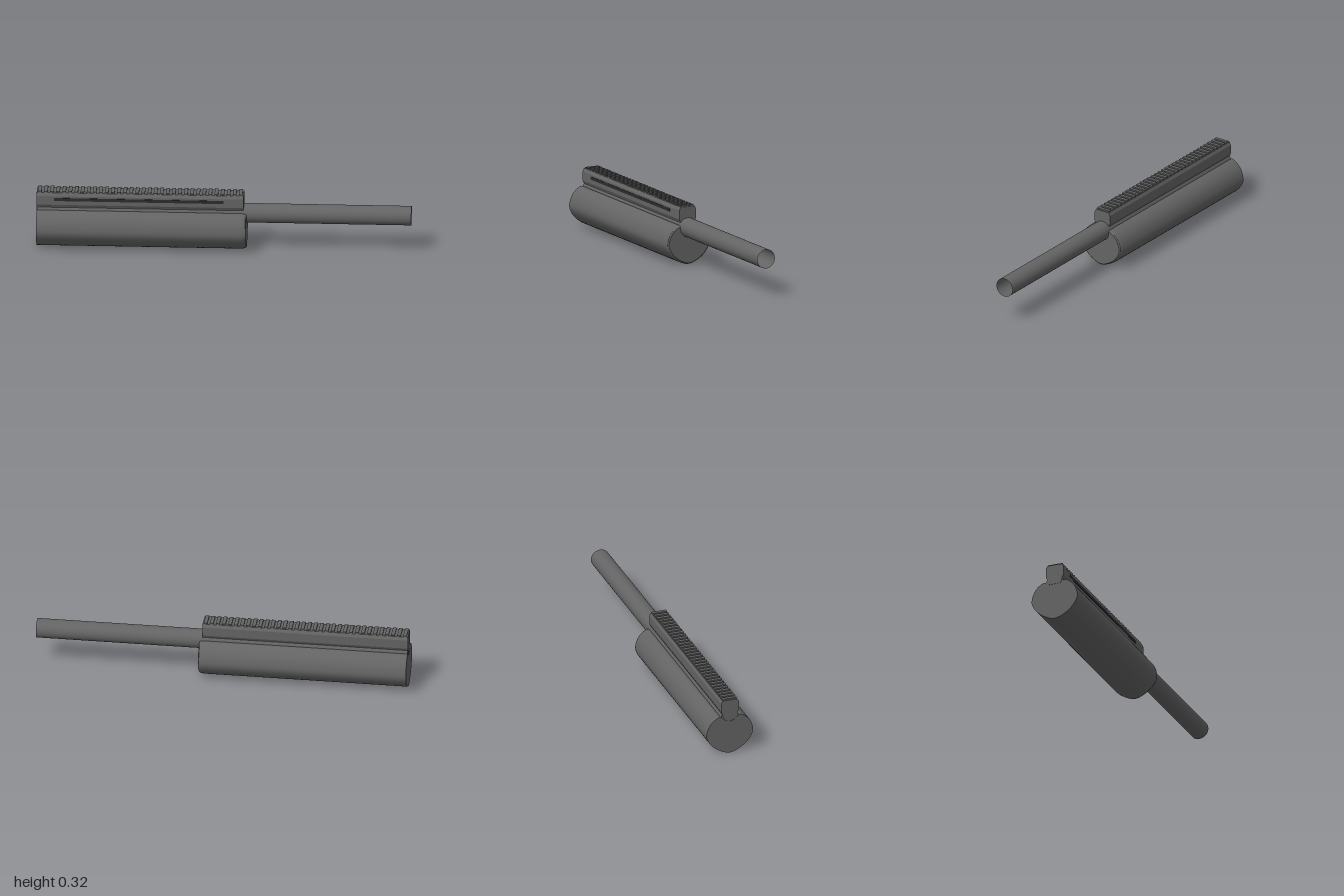
import * as THREE from 'three';
import { toCreasedNormals } from 'three/addons/utils/BufferGeometryUtils.js';

const gunmetal = new THREE.MeshStandardMaterial({ color: 0x646464 });
gunmetal.name = 'gunmetal';
const tubeMetal = new THREE.MeshStandardMaterial({ color: 0x646464, side: THREE.DoubleSide });
tubeMetal.name = 'gunmetal tube';
const slotDark = new THREE.MeshStandardMaterial({ color: 0x2c2c2c });
slotDark.name = 'slot dark';

const REAR = -1;

function part(name, geometry, material, x = 0, y = 0, z = 0) {
  const mesh = new THREE.Mesh(geometry, material);
  mesh.name = name;
  mesh.position.set(x, y, z);
  return mesh;
}

// Heart-shaped section, [z, y], from bottom centre round to the top groove
function guardSection() {
  const half = [[0, 0.002], [0.04, 0.013], [0.088, 0.043], [0.119, 0.08], [0.132, 0.114],
    [0.125, 0.155], [0.108, 0.187], [0.08, 0.212], [0.056, 0.221], [0.042, 0.211], [0.02, 0.195], [0, 0.19]];
  const all = [...half, ...half.slice(1, -1).reverse().map(([z, y]) => [-z, y])];
  const curve = new THREE.CatmullRomCurve3(all.map(([z, y]) => new THREE.Vector3(0, y, z)), true);
  return curve.getPoints(72).slice(0, -1);
}

// Section lofted along x, with a rounded front edge
function guardGeometry() {
  const section = guardSection(), n = section.length, cy = 0.11;
  const rings = [[REAR, 1], [0.09, 1], [0.105, 0.985], [0.115, 0.96], [0.12, 0.91]];
  const pos = [], index = [];
  for (const [x, s] of rings) for (const p of section) pos.push(x, cy + (p.y - cy) * s, p.z * s);
  for (let r = 0; r < rings.length - 1; r++) {
    for (let i = 0; i < n; i++) {
      const a = r * n + i, b = r * n + (i + 1) % n;
      index.push(a, b, a + n, b, b + n, a + n);
    }
  }
  // End caps
  const rear = pos.length / 3, front = rear + 1, last = (rings.length - 1) * n;
  pos.push(REAR, cy, 0, 0.12, cy, 0);
  for (let i = 0; i < n; i++) {
    const j = (i + 1) % n;
    index.push(rear, j, i, front, last + i, last + j);
  }
  // Sections run from bottom to +z, so the winding above must face outward
  const g = new THREE.BufferGeometry();
  g.setAttribute('position', new THREE.Float32BufferAttribute(pos, 3));
  const a = new THREE.Vector3().fromArray(pos, index[0] * 3);
  const b = new THREE.Vector3().fromArray(pos, index[1] * 3);
  const c = new THREE.Vector3().fromArray(pos, index[2] * 3);
  const normal = b.clone().sub(a).cross(c.clone().sub(a));
  if (normal.y > 0) for (let i = 0; i < index.length; i += 3) [index[i], index[i + 1]] = [index[i + 1], index[i]];
  g.setIndex(index);
  return toCreasedNormals(g, 0.6);
}

// Chamfered rail body, extruded along x
function railGeometry(length) {
  const half = [[0.034, 0.205], [0.044, 0.238], [0.05, 0.25], [0.05, 0.299], [0.042, 0.316]];
  const pts = [...half, ...half.slice().reverse().map(([z, y]) => [-z, y])];
  const shape = new THREE.Shape(pts.map(([z, y]) => new THREE.Vector2(z, y)));
  const g = new THREE.ExtrudeGeometry(shape, { depth: length, bevelEnabled: false });
  g.rotateY(Math.PI / 2);
  return g;
}

export function createModel() {
  const model = new THREE.Group();
  model.name = 'barrelAssembly';

  model.add(part('handguard', guardGeometry(), gunmetal));

  // Open tube running through the handguard groove
  const barrel = new THREE.CylinderGeometry(0.052, 0.052, 1.998, 40, 1, true);
  barrel.rotateZ(-Math.PI / 2);
  model.add(part('barrel', barrel, tubeMetal, 0.001, 0.204, 0));
  const plug = new THREE.CircleGeometry(0.052, 40);
  plug.rotateY(-Math.PI / 2);
  model.add(part('barrelRearCap', plug, tubeMetal, -0.998, 0.204, 0));

  // Top rail with cross teeth
  const rail = new THREE.Group();
  rail.name = 'topRail';
  const length = 1.105, count = 34, pitch = length / count;
  rail.add(part('railBody', railGeometry(length), gunmetal, REAR, 0, 0.001));
  const tooth = new THREE.BoxGeometry(pitch * 0.58, 0.012, 0.08);
  for (let i = 0; i < count; i++) {
    rail.add(part('railTooth', tooth, gunmetal, REAR + pitch * (i + 0.5), 0.317, 0.001));
  }
  // Long slot on the front side only
  rail.add(part('railSlot', new THREE.BoxGeometry(0.905, 0.017, 0.004), slotDark, -0.455, 0.281, 0.051));
  model.add(rail);

  return model;
}
